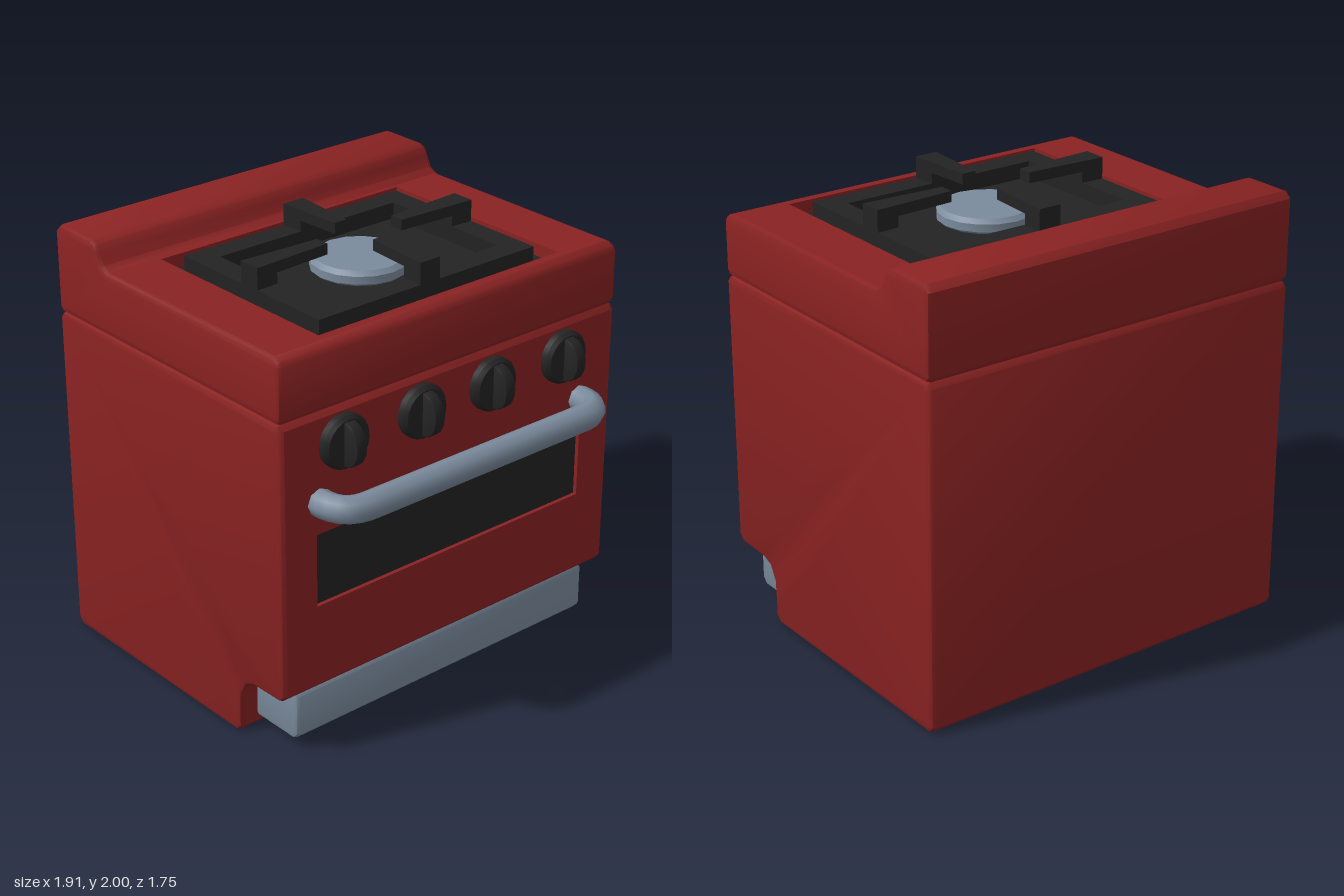
import * as THREE from 'three';
import { toCreasedNormals } from 'three/addons/utils/BufferGeometryUtils.js';

const mat = (name, color) => Object.assign(new THREE.MeshStandardMaterial({ color }), { name });

// Extrude a [z, y] side profile along x, centred on x = 0
function sideExtrude(points, width, bevel = 0) {
  const shape = new THREE.Shape(points.map(([z, y]) => new THREE.Vector2(-z, y)));
  const depth = width - bevel * 2;
  const geo = new THREE.ExtrudeGeometry(shape, {
    depth, bevelEnabled: bevel > 0, bevelThickness: bevel, bevelSize: bevel,
    bevelOffset: -bevel, bevelSegments: 2,
  });
  return geo.translate(0, 0, -depth / 2).rotateY(Math.PI / 2);
}

// Drop the triangles lying wholly in the plane axis = value, to make room for a holed panel
function cutFace(geo, axis, value) {
  const p = geo.attributes.position, kept = [];
  for (let i = 0; i < p.count; i += 3) {
    const tri = [0, 1, 2].map(k => new THREE.Vector3().fromBufferAttribute(p, i + k));
    if (!tri.every(v => Math.abs(v[axis] - value) < 1e-4)) tri.forEach(v => kept.push(v.x, v.y, v.z));
  }
  const out = new THREE.BufferGeometry();
  out.setAttribute('position', new THREE.Float32BufferAttribute(kept, 3));
  return toCreasedNormals(out, 0.7);
}

// Rectangular frame given as [x0, y0, x1, y1] outside and inside
function frame(outer, inner, depth) {
  const rect = ([x0, y0, x1, y1], T) => {
    const s = new T();
    s.moveTo(x0, y0).lineTo(x1, y0).lineTo(x1, y1).lineTo(x0, y1).closePath();
    return s;
  };
  const shape = rect(outer, THREE.Shape);
  shape.holes.push(rect(inner, THREE.Path));
  return new THREE.ExtrudeGeometry(shape, { depth, bevelEnabled: false });
}

export function createModel() {
  const model = new THREE.Group();
  model.name = 'stove';
  const red = mat('redEnamel', 0x8a2222);
  const black = mat('blackIron', 0x232323);
  const steel = mat('blueSteel', 0x7b8b9d);
  const add = (name, geo, material, parent = model) => {
    const m = new THREE.Mesh(geo, material);
    m.name = name;
    parent.add(m);
    return m;
  };

  // Oven body with a toe step at the front
  const W = 1.91, B = 0.025, half = W / 2 - B;
  const body = sideExtrude([
    [-0.84, 0], [0.33, 0], [0.36, 0.03], [0.365, 0.2], [0.4, 0.265], [0.45, 0.285], [0.63, 0.29],
    [0.66, 0.32], [0.66, 1.565], [0.64, 1.59], [-0.85, 1.59], [-0.87, 1.565], [-0.87, 0.03],
  ], W, B);
  add('ovenBody', cutFace(body, 'z', 0.66), red);
  add('ovenFront', frame([-half, 0.32, half, 1.565], [-0.765, 0.7, 0.765, 1.04], 0.02).translate(0, 0, 0.64), red);
  add('ovenWindow', new THREE.PlaneGeometry(1.53, 0.34).translate(0, 0.87, 0.641), black);

  // Cooktop slab with a raised back ledge
  const slab = sideExtrude([
    [-0.85, 1.59], [0.64, 1.59], [0.66, 1.615], [0.66, 1.84], [0.645, 1.865], [0.61, 1.88],
    [-0.5, 1.88], [-0.54, 1.9], [-0.565, 1.95], [-0.585, 1.985], [-0.62, 2], [-0.84, 2],
    [-0.87, 1.97], [-0.87, 1.615],
  ], W, B);
  add('cooktop', cutFace(slab, 'y', 1.88), red);
  add('cooktopRim', frame([-half, -0.61, half, 0.5], [-0.675, -0.57, 0.675, 0.48], 0.06)
    .rotateX(-Math.PI / 2).translate(0, 1.82, 0), red);
  add('cooktopWell', new THREE.PlaneGeometry(1.35, 1.05).rotateX(-Math.PI / 2).translate(0, 1.822, 0.045), black);

  // Burner
  const burner = new THREE.Group();
  burner.name = 'burner';
  burner.position.z = 0.04;
  model.add(burner);
  const cap = [[0.2, 1.82], [0.22, 1.835], [0.22, 1.87], [0.2, 1.89], [0, 1.893]];
  add('burnerCap', toCreasedNormals(new THREE.LatheGeometry(cap.map(p => new THREE.Vector2(...p)), 16), 0.6),
    steel, burner);

  // Grate: a square ring and four tapered, hooked arms
  add('grateRing', frame([-0.605, -0.45, 0.605, 0.45], [-0.495, -0.34, 0.495, 0.34], 0.075)
    .rotateX(-Math.PI / 2).translate(0, 1.825, 0), black, burner);
  for (let i = 0; i < 4; i++) {
    const [outer, tip] = i % 2 ? [0.605, 0.21] : [0.45, 0.125];
    const leg = outer - 0.11;
    const geo = sideExtrude([
      [outer, 1.825], [outer, 2], [tip, 2], [tip, 1.95], [leg, 1.95], [leg, 1.825],
    ], 0.11);
    const p = geo.attributes.position;
    for (let k = 0; k < p.count; k++) {
      const t = (p.getZ(k) - tip) / (outer - tip);
      p.setX(k, p.getX(k) * (0.62 + 0.38 * t));
    }
    geo.computeVertexNormals();
    add('grateArm', geo, black, burner).rotation.y = i * Math.PI / 2;
  }

  // Control knobs: a bevelled disc with a rounded grip
  const disc = [[0.122, 0], [0.122, 0.03], [0.108, 0.048], [0, 0.05]].map(p => new THREE.Vector2(...p));
  const discGeo = toCreasedNormals(new THREE.LatheGeometry(disc, 20).rotateX(Math.PI / 2), 0.6);
  const grip = [[0.03, -0.1], [0.03, 0.1]];
  for (let i = 0; i <= 8; i++) {
    const a = Math.PI / 2 - i * Math.PI / 8;
    grip.push([0.05 + 0.08 * Math.cos(a), 0.1 * Math.sin(a)]);
  }
  const gripGeo = toCreasedNormals(sideExtrude(grip, 0.054, 0.006), 0.6);
  for (const x of [-0.63, -0.205, 0.2, 0.625]) {
    const knob = new THREE.Group();
    knob.name = 'controlKnob';
    knob.position.set(x, 1.435, 0.66);
    model.add(knob);
    add('knobDisc', discGeo, black, knob);
    add('knobGrip', gripGeo, black, knob);
  }

  // Door handle
  const v = (x, z) => new THREE.Vector3(x, 1.19, z);
  const path = new THREE.CurvePath();
  path.add(new THREE.LineCurve3(v(-0.75, 0.62), v(-0.75, 0.69)));
  path.add(new THREE.QuadraticBezierCurve3(v(-0.75, 0.69), v(-0.74, 0.81), v(-0.62, 0.815)));
  path.add(new THREE.LineCurve3(v(-0.62, 0.815), v(0.62, 0.815)));
  path.add(new THREE.QuadraticBezierCurve3(v(0.62, 0.815), v(0.74, 0.81), v(0.75, 0.69)));
  path.add(new THREE.LineCurve3(v(0.75, 0.69), v(0.75, 0.62)));
  add('doorHandle', new THREE.TubeGeometry(path, 48, 0.062, 8), steel);

  // Bottom drawer
  const drawer = sideExtrude([
    [0.3, 0.05], [0.6, 0.05], [0.63, 0.08], [0.63, 0.27], [0.61, 0.3], [0.3, 0.3],
  ], 1.72, 0.025);
  add('bottomDrawer', toCreasedNormals(drawer, 0.6), steel);

  return model;
}
